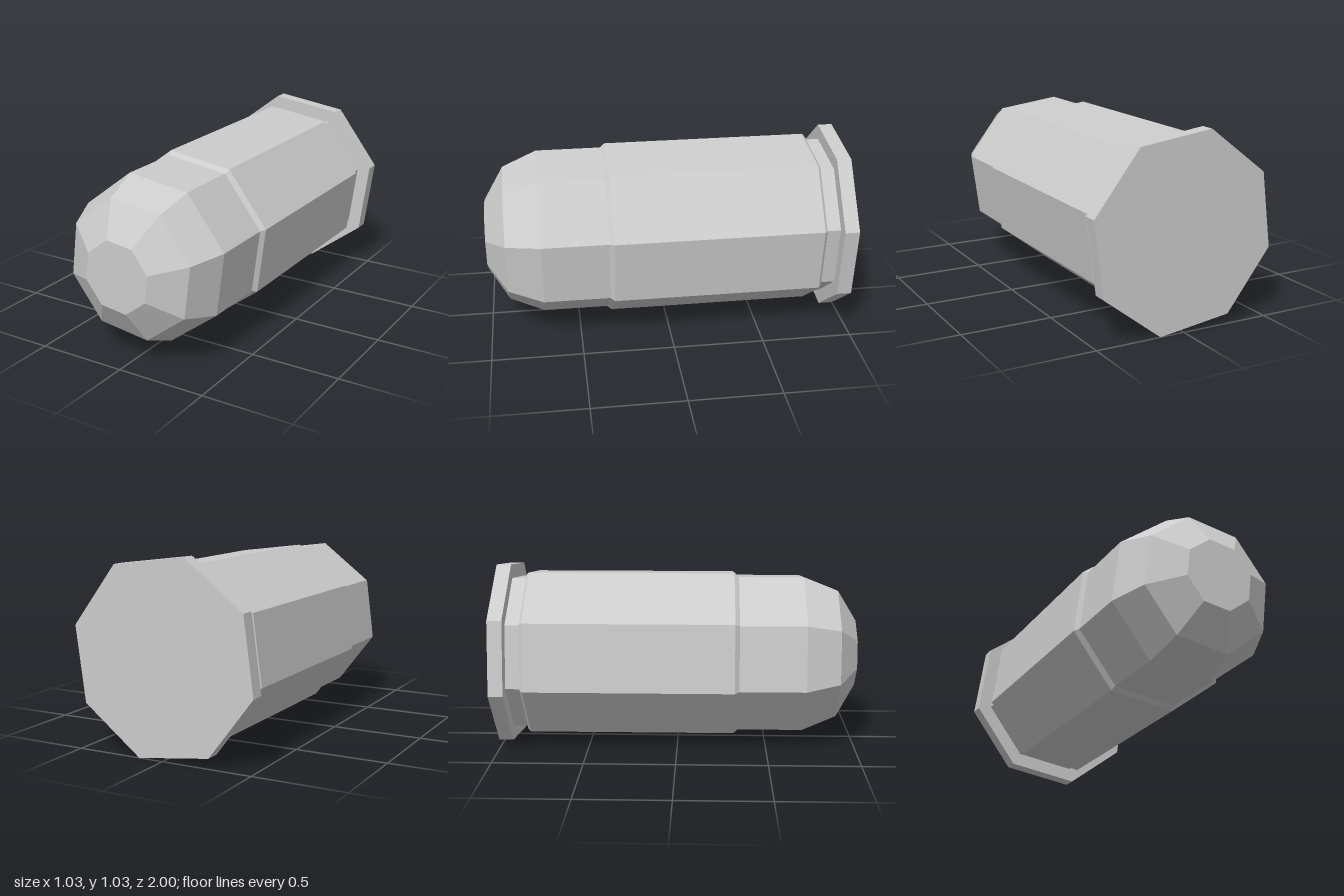
import * as THREE from 'three';

const SIDES = 8;
const AXIS_HEIGHT = 0.517;
const TWIST = THREE.MathUtils.degToRad(15);

// Turns a [radius, z] profile, listed back to front, into an octagonal solid along z
function turned(name, profile, material) {
  const points = profile.map(([r, z]) => new THREE.Vector2(r, z));
  const geometry = new THREE.LatheGeometry(points, SIDES, TWIST, Math.PI * 2);
  geometry.rotateX(Math.PI / 2);
  const mesh = new THREE.Mesh(geometry, material);
  mesh.name = name;
  return mesh;
}

export function createModel() {
  const model = new THREE.Group();
  model.name = 'cartridge';
  const material = new THREE.MeshStandardMaterial({ color: 0xcccccc, flatShading: true });

  // Casing: base rim, extraction groove, chamfered body and mouth
  model.add(turned('casing', [
    [0, -1], [0.532, -1], [0.532, -0.92],
    [0.45, -0.92], [0.45, -0.84],
    [0.468, -0.84], [0.484, -0.825],
    [0.484, 0.315], [0.462, 0.34],
  ], material));

  // Bullet: straight shank, two tapered bands and a flat tip
  model.add(turned('bullet', [
    [0.462, 0.34], [0.462, 0.7], [0.381, 0.89], [0.197, 1], [0, 1],
  ], material));

  model.position.y = AXIS_HEIGHT;
  return model;
}
